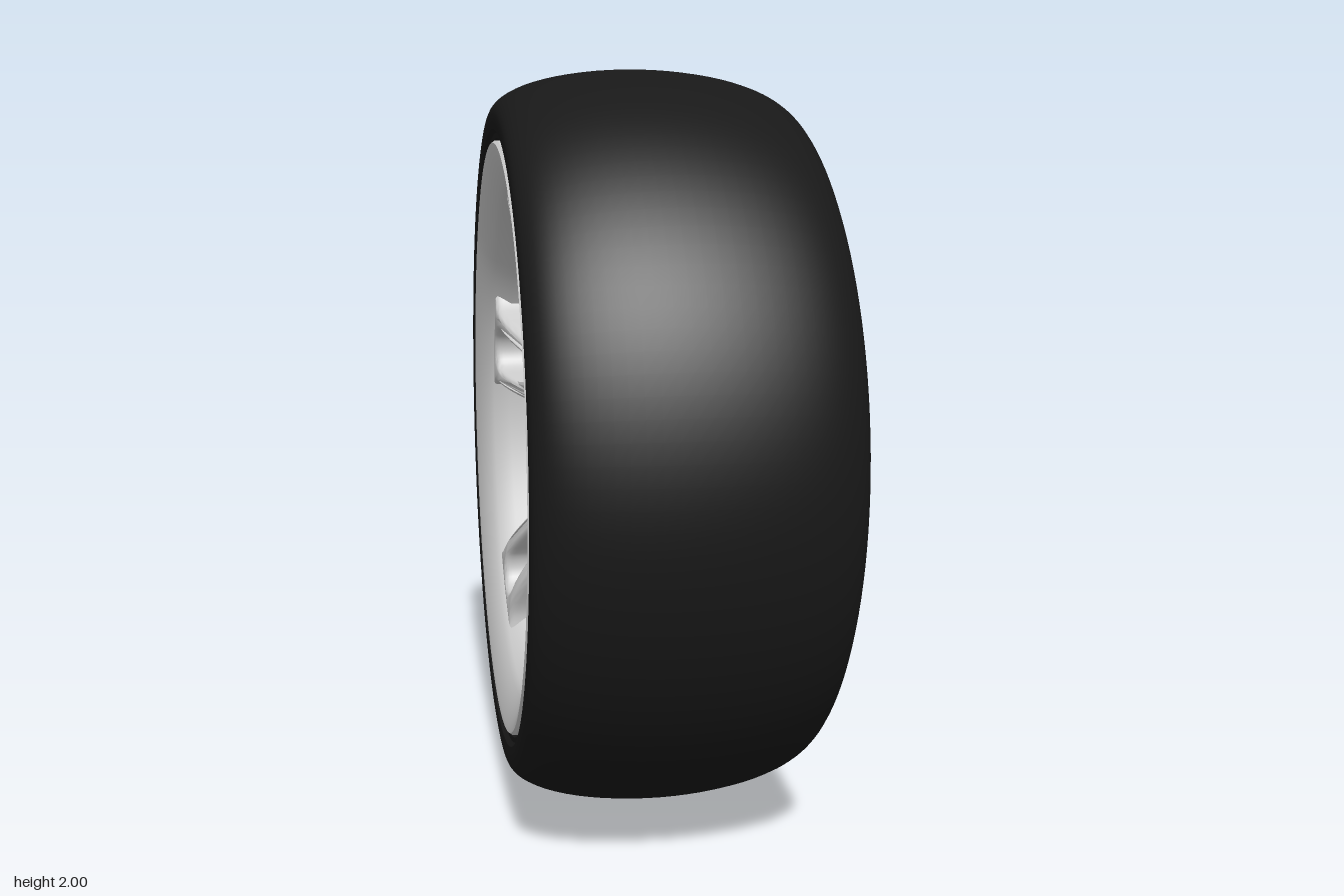
import * as THREE from 'three';
import { toCreasedNormals } from 'three/addons/utils/BufferGeometryUtils.js';

const metal = new THREE.MeshStandardMaterial({ color: 0xcccccc });
const rubber = new THREE.MeshStandardMaterial({ color: 0x181818 });

function part(parent, name, geometry, material = metal) {
  const mesh = new THREE.Mesh(geometry, material);
  mesh.name = name;
  parent.add(mesh);
  return mesh;
}

// Revolves [radius, x] points around the x axle
function revolve(points, crease, segments = 128) {
  const geo = new THREE.LatheGeometry(points.map(([r, x]) => new THREE.Vector2(r, x)), segments);
  geo.rotateZ(-Math.PI / 2);
  return toCreasedNormals(geo, crease);
}

function circle(radius, u = 0, v = 0, PathClass = THREE.Path) {
  return new PathClass().absarc(u, v, radius, 0, Math.PI * 2, false);
}

// Disc with five bolt holes, running from x = start towards -x
function drilledDisc(radius, holeRadius, start, depth) {
  const shape = circle(radius, 0, 0, THREE.Shape);
  for (let i = 0; i < 5; i++) {
    const a = Math.PI / 2 + i * Math.PI * 0.4;
    shape.holes.push(circle(holeRadius, 0.107 * Math.cos(a), 0.107 * Math.sin(a)));
  }
  const geo = new THREE.ExtrudeGeometry(shape, { depth, bevelEnabled: false, curveSegments: 32 });
  geo.rotateY(-Math.PI / 2).translate(start, 0, 0);
  return toCreasedNormals(geo, 0.6);
}

// Twin spoke: flared outline with a round-ended slot, bent outwards to the rim
function spokeGeometry() {
  const right = [];
  for (let i = 0; i <= 16; i++) {
    const r = 0.15 + 0.45 * i / 16;
    right.push(new THREE.Vector2(0.062 + (r - 0.166) * 0.133, r));
  }
  for (const [w, r] of [[0.125, 0.625], [0.133, 0.645], [0.145, 0.662], [0.16, 0.68]]) {
    right.push(new THREE.Vector2(w, r));
  }
  const mirror = (pts) => pts.map((p) => new THREE.Vector2(-p.x, p.y)).reverse();
  const crown = [0.08, 0, -0.08].map((w) => new THREE.Vector2(w, Math.sqrt(0.488 - w * w)));
  const shape = new THREE.Shape([...right, ...crown, ...mirror(right)]);

  const slot = [];
  for (let i = 0; i <= 16; i++) {
    const r = 0.175 + 0.415 * i / 16;
    slot.push(new THREE.Vector2(0.016 + (r - 0.166) * 0.122, r));
  }
  const arc = [];
  for (let i = 1; i < 16; i++) {
    const a = Math.PI * i / 16;
    arc.push(new THREE.Vector2(0.068 * Math.cos(a), 0.59 + 0.068 * Math.sin(a)));
  }
  shape.holes.push(new THREE.Path([...slot, ...arc, ...mirror(slot)]));

  const geo = new THREE.ExtrudeGeometry(shape, {
    depth: 0.075, bevelThickness: 0.025, bevelSize: 0.014, bevelOffset: -0.014, bevelSegments: 4,
  });
  // Back stays flat, front edges stay rounded
  const pos = geo.attributes.position;
  for (let i = 0; i < pos.count; i++) {
    const bend = THREE.MathUtils.smoothstep(pos.getY(i), 0.14, 0.66);
    const z = pos.getZ(i);
    // Outline at the back is widened to the full shape by the flattened bevel
    pos.setZ(i, Math.max(z, 0) + 0.05 + 0.18 * bend);
  }
  geo.rotateY(-Math.PI / 2);
  return toCreasedNormals(geo, 0.6);
}

export function createModel() {
  const model = new THREE.Group();
  model.name = 'wheel';
  const wheel = new THREE.Group();
  wheel.name = 'wheelAssembly';
  wheel.position.y = 1;
  model.add(wheel);

  // Tyre: bead and sidewall on both sides, elliptical tread between
  const side = [[0.79, 0.33], [0.812, 0.355], [0.818, 0.372], [0.832, 0.372], [0.842, 0.383], [0.86, 0.385]];
  const tread = [];
  for (let i = 0; i <= 32; i++) {
    const t = -Math.PI / 2 + Math.PI * i / 32;
    tread.push([0.88 + 0.12 * Math.cos(t), 0.385 * Math.sin(t)]);
  }
  const tyre = [...side.map(([r, x]) => [r, -x]), ...tread, ...[...side].reverse()];
  part(wheel, 'tyre', revolve(tyre, 0.7), rubber);

  // Rim: hidden outside, then the stepped barrel, then the outer lip
  part(wheel, 'rim', revolve([
    [0.812, -0.375], [0.81, -0.33], [0.74, -0.3], [0.72, -0.2], [0.72, 0.1], [0.765, 0.19],
    [0.78, 0.28], [0.8, 0.33], [0.812, 0.375],
    [0.806, 0.383], [0.79, 0.383], [0.782, 0.37], [0.776, 0.335], [0.758, 0.3], [0.746, 0.26],
    [0.742, 0.19], [0.728, 0.165], [0.712, 0.155], [0.7, 0.13], [0.692, 0.1], [0.69, -0.06],
    [0.667, -0.18], [0.667, -0.28], [0.7, -0.33], [0.712, -0.345], [0.79, -0.38],
    [0.806, -0.383], [0.812, -0.375],
  ], 0.6));

  // Hub: mounting drum and a counterbored front plate
  part(wheel, 'hubDrum', drilledDisc(0.175, 0.02, 0.03, 0.13));
  part(wheel, 'hubFrontPlate', drilledDisc(0.155, 0.033, -0.1, 0.045));

  // Five twin spokes, each with a bolt seat at its root
  const spoke = spokeGeometry();
  const seat = revolve([
    [0.033, -0.1], [0.033, -0.158], [0.036, -0.163], [0.042, -0.163], [0.045, -0.158], [0.045, -0.1],
  ], 0.6, 32);
  for (let i = 0; i < 5; i++) {
    const arm = new THREE.Group();
    arm.name = 'spokeArm' + (i + 1);
    arm.rotation.x = i * Math.PI * 0.4;
    part(arm, 'twinSpoke', spoke);
    part(arm, 'boltSeat', seat).position.y = 0.107;
    wheel.add(arm);
  }

  // Valve base set in the barrel behind one spoke
  const valve = part(wheel, 'valve', new THREE.CylinderGeometry(0.022, 0.022, 0.03, 24));
  valve.position.set(-0.11, 0.21, -0.65);
  valve.rotation.x = -Math.PI * 0.4;
  return model;
}
